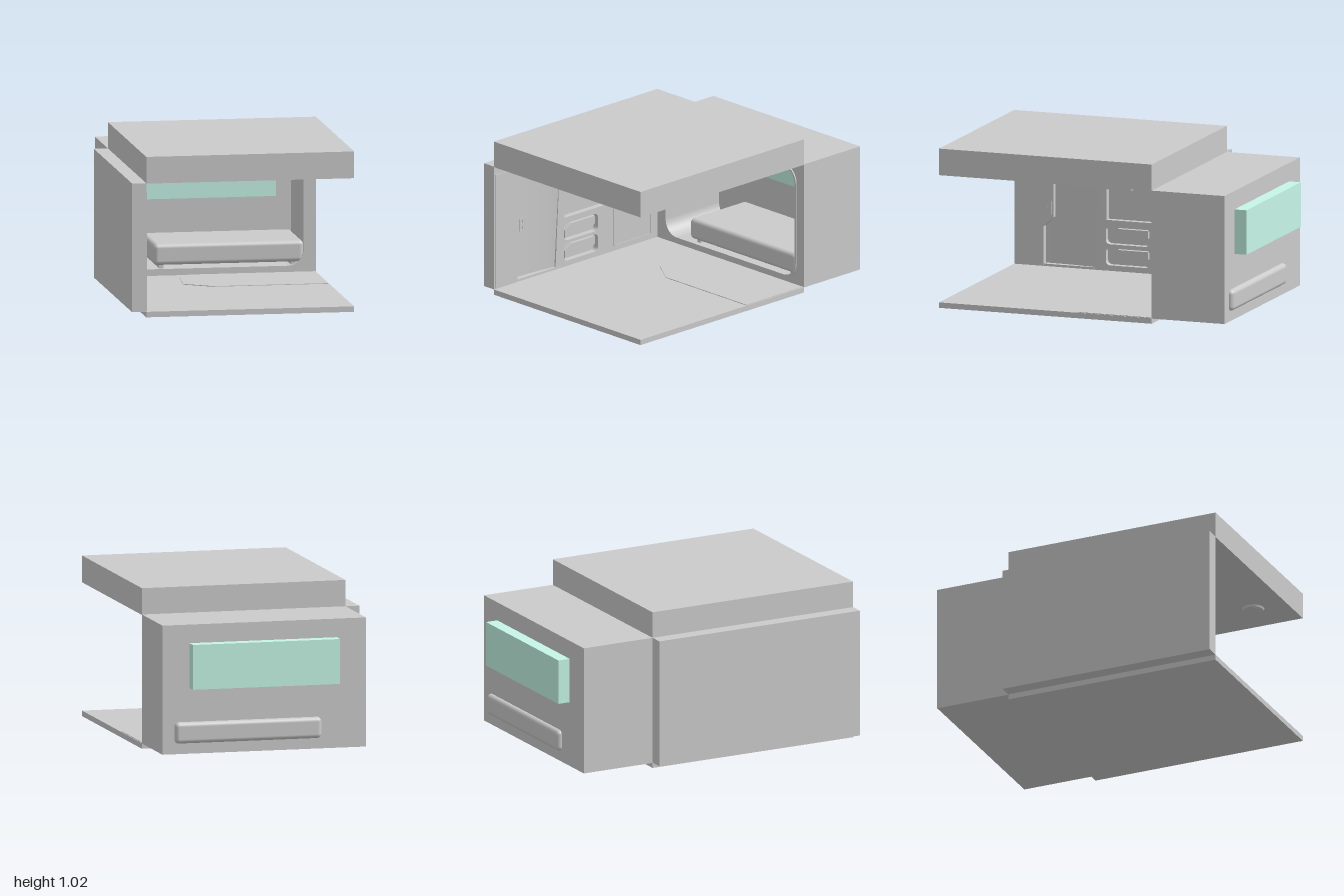
import * as THREE from 'three';
import { RoundedBoxGeometry } from 'three/addons/geometries/RoundedBoxGeometry.js';

const grey = new THREE.MeshStandardMaterial({ color: 0xcccccc });
const glass = new THREE.MeshStandardMaterial({ color: 0xc6f6e7 });

// Closed outline from corner points
const poly = pts => new THREE.Shape(pts.map(p => new THREE.Vector2(p[0], p[1])));

// Rounded rectangle between two corners
function rounded(x0, y0, x1, y1, r) {
  const s = new THREE.Shape();
  s.absarc(x1 - r, y1 - r, r, 0, Math.PI / 2);
  s.absarc(x0 + r, y1 - r, r, Math.PI / 2, Math.PI);
  s.absarc(x0 + r, y0 + r, r, Math.PI, Math.PI * 1.5);
  s.absarc(x1 - r, y0 + r, r, Math.PI * 1.5, Math.PI * 2);
  s.closePath();
  return s;
}
const rect = (x0, y0, x1, y1) => poly([[x0, y0], [x1, y0], [x1, y1], [x0, y1]]);

function extrude(shape, depth, holes = []) {
  shape.holes.push(...holes);
  return new THREE.ExtrudeGeometry(shape, { depth, bevelEnabled: false, curveSegments: 10 });
}

export function createModel() {
  const root = new THREE.Group();
  const add = (name, geo, mat = grey) => {
    const m = new THREE.Mesh(geo, mat);
    m.name = name;
    root.add(m);
    return m;
  };
  const box = (name, x0, x1, y0, y1, z0, z1, mat) =>
    add(name, new THREE.BoxGeometry(x1 - x0, y1 - y0, z1 - z0), mat)
      .position.set((x0 + x1) / 2, (y0 + y1) / 2, (z0 + z1) / 2);
  // Outline drawn in (-z, y), extruded along +x
  const sideways = (name, shape, x0, x1, holes) =>
    add(name, extrude(shape, x1 - x0, holes).rotateY(Math.PI / 2).translate(x0, 0, 0));
  // Outline drawn in (x, -z), extruded along +y
  const upward = (name, shape, y0, y1, holes) =>
    add(name, extrude(shape, y1 - y0, holes).rotateX(-Math.PI / 2).translate(0, y0, 0));

  // Floor with a cut-corner inset in front of the niche
  box('floor', -0.62, 0.705, 0, 0.035, -0.43, 1);
  upward('floorInset', poly([[-0.03, -0.07], [0.7, -0.07], [0.7, 0.42], [-0.1, 0.42], [-0.18, 0.34], [-0.205, 0.05]]), 0.034, 0.039);

  // Ceiling: solid top, and a lower layer with recesses cut through it
  const cx = 0.055;
  const ceilingHoles = [rect(-0.42, -0.1, 0.53, 0.2)];
  for (let i = -4; i <= 4; i++) {
    const x = cx + i * 0.042;
    ceilingHoles.push(rounded(x - 0.012, -0.51, x + 0.012, -0.27, 0.011));
  }
  for (const s of [-1, 1]) {
    const x = cx + s * 0.405;
    ceilingHoles.push(rounded(x - 0.13, -0.39, x + 0.13, -0.28, 0.054));
  }
  box('ceilingTop', -0.62, 0.705, 0.9, 1.02, -0.43, 1);
  upward('ceilingUnderside', rect(-0.62, -1, 0.705, 0.43), 0.85, 0.9, ceilingHoles);

  // Hanging frame around the ceiling recess, its front edge sloped
  sideways('ceilingFrameFront', poly([[-0.2, 0.852], [-0.155, 0.818], [-0.1, 0.818], [-0.1, 0.852]]), -0.49, 0.6);
  box('ceilingFrameBack', -0.49, 0.6, 0.818, 0.852, -0.25, -0.2);
  box('ceilingFrameRight', -0.49, -0.42, 0.818, 0.852, -0.2, 0.1);
  box('ceilingFrameLeft', 0.53, 0.6, 0.818, 0.852, -0.2, 0.1);

  // Lamps and small fittings in pairs
  for (const s of [-1, 1]) {
    const x = cx + 0.01 + s * 0.385;
    const ring = add('lampRing', new THREE.CylinderGeometry(0.07, 0.064, 0.016, 32));
    ring.position.set(x, 0.844, 0.775);
    const lens = add('lampLens', new THREE.SphereGeometry(0.05, 24, 10));
    lens.scale.y = 0.12;
    lens.position.set(x, 0.837, 0.775);
    const knob = add('ceilingFitting', new THREE.SphereGeometry(0.032, 16, 12));
    knob.position.set(cx + s * 0.405, 0.885, 0.335);
  }

  // Side wall: backing plus a front layer with openings
  box('sideWallBacking', -0.71, -0.66, 0.035, 0.853, -0.43, 1);
  const doorway = poly([[-0.8, 0.05], [-0.46, 0.05], [-0.42, 0.79], [-0.735, 0.79], [-0.735, 0.35], [-0.8, 0.29]]);
  const shelf = rect(-0.38, 0.36, 0.375, 0.645);
  const lockers = [0.205, 0.07].map(y => rounded(-0.385, y, -0.09, y + 0.115, 0.03));
  sideways('sideWallFace', rect(-1, 0.035, 0.43, 0.853), -0.66, -0.62, [doorway, shelf, ...lockers]);

  // Curved door leaf inside the doorway
  const leaf = new THREE.Shape();
  leaf.moveTo(-0.68, -0.81);
  leaf.lineTo(-0.657, -0.81);
  leaf.quadraticCurveTo(-0.655, -0.55, -0.622, -0.42);
  leaf.lineTo(-0.68, -0.42);
  upward('curvedDoor', leaf, 0.04, 0.8);

  // Sloped top inside the shelf recess (outline in x, y, running along z)
  add('shelfHood', extrude(poly([[-0.67, 0.605], [-0.622, 0.645], [-0.67, 0.645]]), 0.755).translate(0, 0, -0.375));

  // Raised panels on the side wall
  sideways('edgePanel', poly([[-0.985, 0.037], [-0.8, 0.037], [-0.8, 0.29], [-0.735, 0.35], [-0.735, 0.795], [-0.985, 0.795]]), -0.621, -0.614);
  sideways('handlePlate', rounded(-0.785, 0.365, -0.745, 0.455, 0.008), -0.615, -0.61,
    [rect(-0.777, 0.42, -0.753, 0.445), rect(-0.777, 0.375, -0.753, 0.4)]);
  sideways('upperCabinet', poly([[-0.38, 0.72], [-0.29, 0.71], [-0.25, 0.68], [0.38, 0.68], [0.38, 0.705],
    [0.26, 0.76], [0.11, 0.79], [-0.345, 0.79], [-0.38, 0.76]]), -0.621, -0.612);
  sideways('lowerPanelFrame', rounded(0.045, 0.065, 0.375, 0.325, 0.008).closePath(), -0.621, -0.612,
    [rect(0.055, 0.075, 0.365, 0.315)]);
  sideways('lowerPanel', rect(-0.05 + 0.1, 0.07, 0.37, 0.32), -0.621, -0.616);
  // Locker doors with two clipped corners
  for (const y of [0.07, 0.205]) {
    sideways('lockerDoor', poly([[-0.37, y + 0.015], [-0.16, y + 0.015], [-0.105, y + 0.05], [-0.105, y + 0.1],
      [-0.31, y + 0.1], [-0.37, y + 0.065]]), -0.661, -0.63);
  }

  // Sleeping niche: block with a rounded opening, closed by a back plate
  const niche = inset => rounded(-0.55 + inset, 0.065 + inset, 0.638 - inset, 0.815 - inset, 0.11 - inset);
  add('nicheBlock', extrude(rect(-0.62, 0.033, 0.705, 0.853), 0.46, [niche(0.012)]).translate(0, 0, -0.89));
  box('nicheBack', -0.62, 0.705, 0.033, 0.853, -0.92, -0.89);
  add('nicheRim', extrude(niche(0), 0.012, [niche(0.013)]).translate(0, 0, -0.434));

  // Window through the back plate
  box('window', -0.43, 0.53, 0.45, 0.735, -1, -0.885, glass);

  // Mattress on two feet, its rear edge showing behind the back plate
  add('mattress', new RoundedBoxGeometry(0.955, 0.135, 0.525, 4, 0.028)).position.set(0.1505, 0.168, -0.6875);
  for (const x of [-0.275, 0.565]) box('mattressFoot', x - 0.013, x + 0.013, 0.07, 0.11, -0.85, -0.46);

  return root;
}
